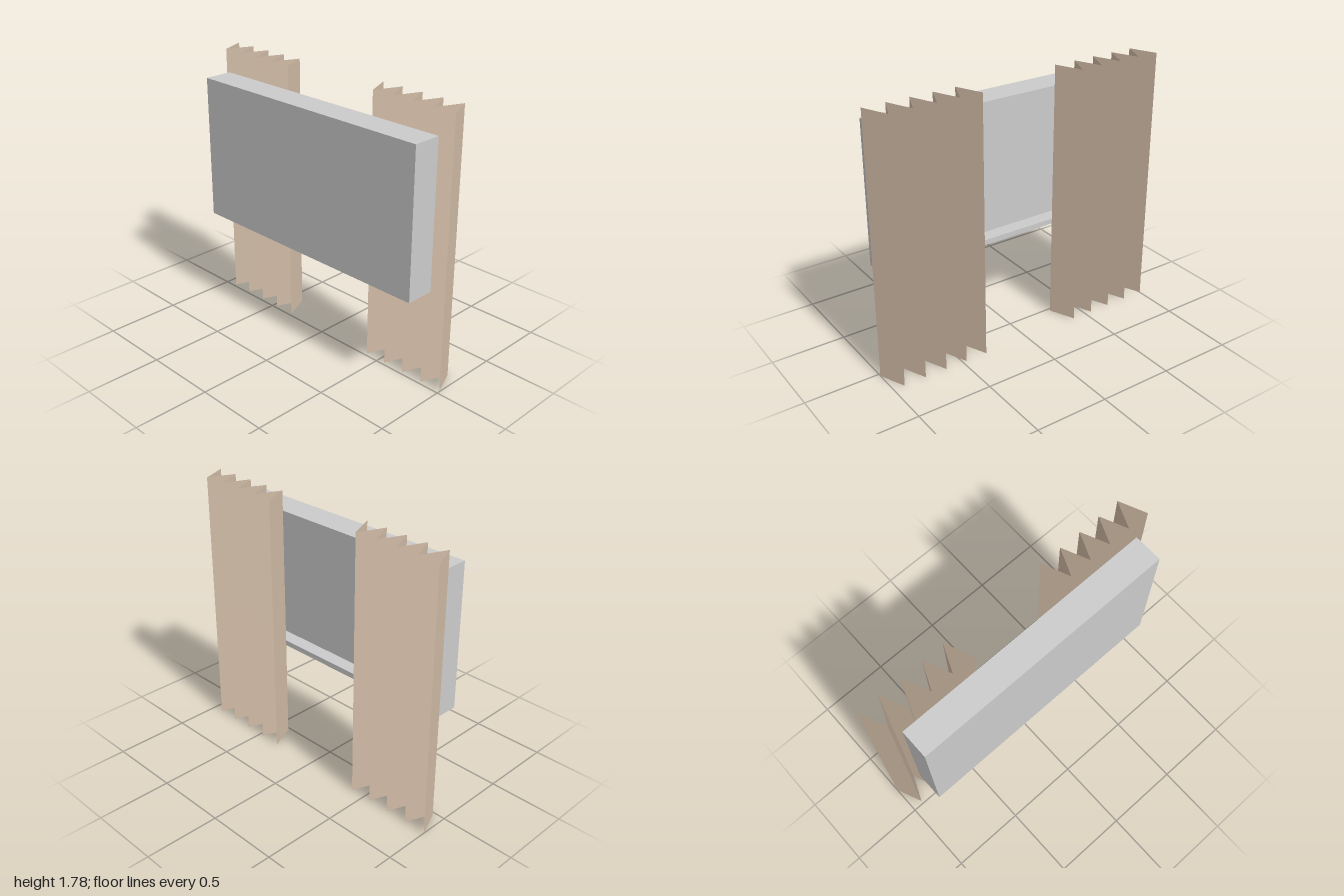
import * as THREE from 'three';

const BOTTOM = 0, CURTAIN_HEIGHT = 1.777, PLEATS = 9;

// Pleated sheet: every other column of a plane is pushed outward, then turned to face +x
function makeCurtain(name, zStart, zEnd, material) {
  const width = zStart - zEnd;
  const plane = new THREE.PlaneGeometry(width, CURTAIN_HEIGHT, PLEATS, 1);
  const pos = plane.attributes.position;
  for (let i = 0; i < pos.count; i++) {
    const column = i % (PLEATS + 1);
    pos.setZ(i, column % 2 ? 0.195 : 0.02);
  }
  const geometry = plane.toNonIndexed();
  geometry.computeVertexNormals();
  geometry.rotateY(Math.PI / 2);
  geometry.translate(0, BOTTOM + CURTAIN_HEIGHT / 2, (zStart + zEnd) / 2);
  const mesh = new THREE.Mesh(geometry, material);
  mesh.name = name;
  return mesh;
}

// Box with a recessed front, lofted through rectangles [halfWidth, halfHeight, depth]
function recessedBox(sections) {
  const points = [], index = [];
  for (const [w, h, d] of sections) points.push(-w, -h, d, w, -h, d, w, h, d, -w, h, d);
  const last = (sections.length - 1) * 4;
  for (let k = 0; k < last; k += 4) {
    for (let j = 0; j < 4; j++) {
      const n = (j + 1) % 4;
      index.push(k + j, k + n, k + 4 + n, k + j, k + 4 + n, k + 4 + j);
    }
  }
  index.push(0, 2, 1, 0, 3, 2); // back face
  index.push(last, last + 1, last + 2, last, last + 2, last + 3); // recessed panel
  const indexed = new THREE.BufferGeometry();
  indexed.setAttribute('position', new THREE.Float32BufferAttribute(points, 3));
  indexed.setIndex(index);
  const geometry = indexed.toNonIndexed();
  geometry.computeVertexNormals();
  return geometry;
}

export function createModel() {
  const group = new THREE.Group();
  group.name = 'curtainedWindow';

  const grey = new THREE.MeshStandardMaterial({ color: 0xcccccc, flatShading: true });
  const cloth = new THREE.MeshStandardMaterial({
    color: 0xd2bca7, flatShading: true, side: THREE.DoubleSide,
  });

  // Window box with a thin rim around its recess
  const w = 0.89, h = 0.483, rim = 0.036;
  const frame = new THREE.Mesh(recessedBox([
    [w, h, -0.195],
    [w, h, -0.004],
    [w - rim, h - rim, -0.004],
    [w - rim, h - rim, -0.1],
  ]), grey);
  frame.name = 'windowFrame';
  frame.rotation.y = Math.PI / 2;
  frame.position.set(0, 1.149, 0.02);
  group.add(frame);

  // Pleated curtains at both ends of the window
  group.add(makeCurtain('frontCurtain', 1, 0.323, cloth));
  group.add(makeCurtain('backCurtain', -0.323, -1, cloth));

  return group;
}
